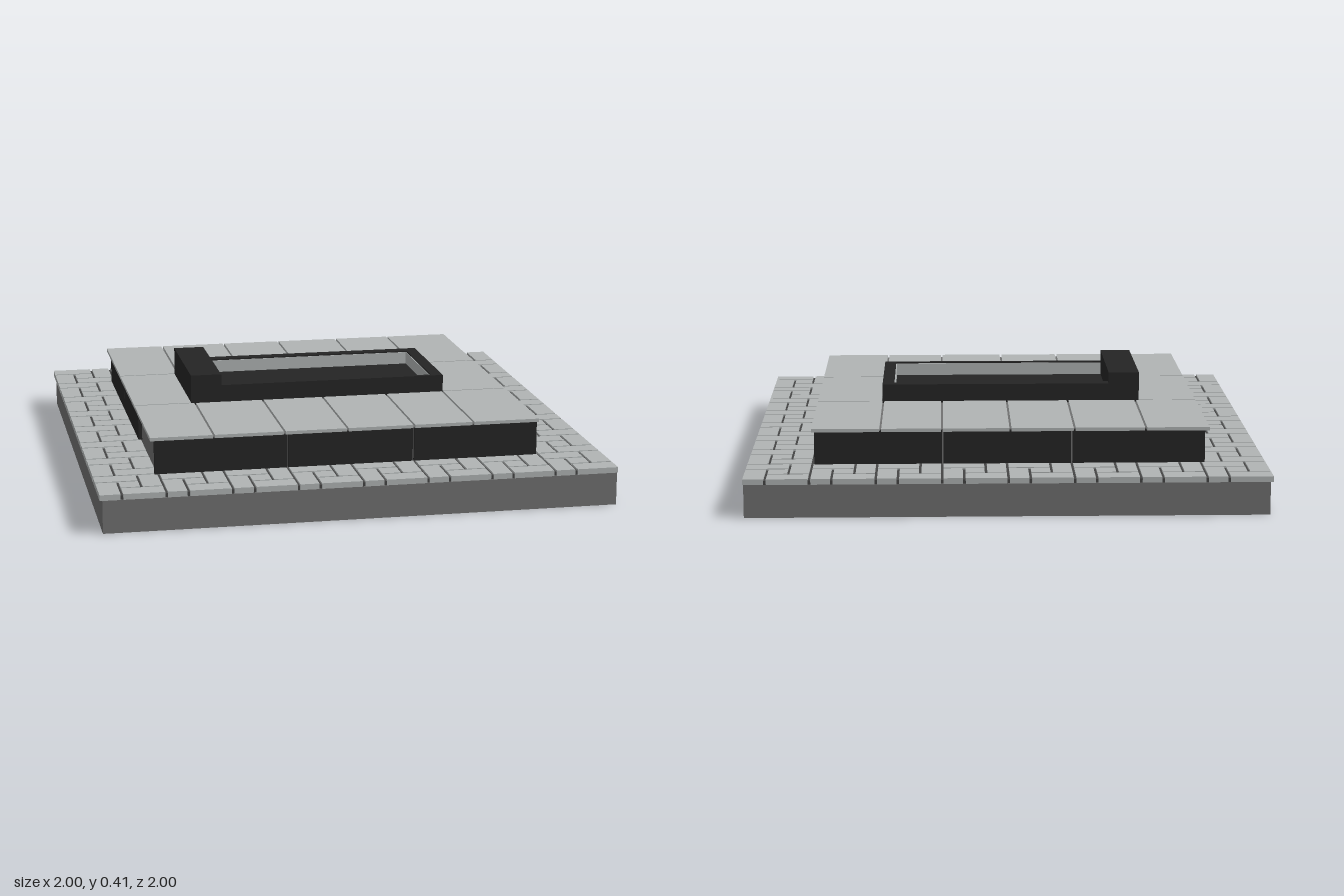
import * as THREE from 'three';
import { mergeGeometries } from 'three/addons/utils/BufferGeometryUtils.js';

const mat = (name, color) => new THREE.MeshStandardMaterial({ name, color });

// Box given by its limits on each axis
function block(x0, x1, y0, y1, z0, z1) {
  return new THREE.BoxGeometry(x1 - x0, y1 - y0, z1 - z0)
    .translate((x0 + x1) / 2, (y0 + y1) / 2, (z0 + z1) / 2);
}

export function createModel() {
  const paleStone = mat('paleStone', 0xb0b4b4);
  const concrete = mat('concrete', 0x707070);
  const grout = mat('grout', 0x444444);
  const blackGranite = mat('blackGranite', 0x242424);

  const model = new THREE.Group();
  model.name = 'terracedMonument';
  const add = (name, material, ...geometries) => {
    const mesh = new THREE.Mesh(geometries.length > 1 ? mergeGeometries(geometries) : geometries[0], material);
    mesh.name = name;
    model.add(mesh);
  };

  // Foundation and bed of the paving
  add('foundation', concrete, block(-0.99, 0.997, 0, 0.128, -0.997, 0.997));
  add('pavingBed', grout, block(-0.99, 0.995, 0.128, 0.143, -0.995, 0.995));

  // Pinwheel paving: four 2x1 stones round one square, repeated 8 x 8
  const unit = 0.25 / 3, gap = 0.005;
  const pinwheel = [[0, 0, 2, 1], [2, 0, 1, 2], [1, 2, 2, 1], [0, 1, 1, 2], [1, 1, 1, 1]];
  const stones = [];
  for (let i = 0; i < 8; i++) {
    for (let j = 0; j < 8; j++) {
      // Only the ring outside the plinth is paved
      if (i > 0 && i < 7 && j > 0 && j < 7) continue;
      for (const [u, v, w, d] of pinwheel) {
        const x = -1 + i * 0.25 + u * unit, z = -1 + j * 0.25 + v * unit;
        // Outermost edges stay flush with the border
        const a = x < -0.999 ? 0 : gap, b = z < -0.999 ? 0 : gap;
        const c = x + w * unit > 0.999 ? 0 : gap, e = z + d * unit > 0.999 ? 0 : gap;
        stones.push(block(x + a, x + w * unit - c, 0.128, 0.15, z + b, z + d * unit - e));
      }
    }
  }
  add('pavingStones', paleStone, ...stones);

  // Plinth core
  add('plinthCore', concrete, block(-0.75, 0.725, 0.14, 0.284, -0.745, 0.745));

  // Granite facing, three panels a side; one is left off the -x side
  const facing = [];
  const xs = [-0.765, -0.25, 0.247, 0.742], zs = [-0.76, -0.25, 0.25, 0.76];
  for (let i = 0; i < 3; i++) {
    const xa = xs[i] + (i ? 0.003 : 0), xb = xs[i + 1] - (i < 2 ? 0.003 : 0);
    const za = zs[i] + (i ? 0.003 : 0.015), zb = zs[i + 1] - (i < 2 ? 0.003 : 0.015);
    facing.push(block(xa, xb, 0.15, 0.28, 0.745, 0.76));
    facing.push(block(xa, xb, 0.15, 0.28, -0.76, -0.745));
    facing.push(block(0.725, 0.742, 0.15, 0.28, za, zb));
    if (i < 2) facing.push(block(-0.765, -0.75, 0.15, 0.28, za, zb));
  }
  add('plinthFacing', blackGranite, ...facing);

  // Cap slabs: six in front, six behind, one at each end of the bed
  const caps = [], g = 0.004;
  const cx = [-0.78, -0.535, -0.26, -0.013, 0.25, 0.487, 0.752];
  for (let i = 0; i < 6; i++) {
    const a = cx[i] + (i ? g : 0), b = cx[i + 1] - (i < 5 ? g : 0);
    caps.push(block(a, b, 0.28, 0.293, -0.78, -0.255 - g));
    caps.push(block(a, b, 0.28, 0.293, 0.252 + g, 0.757));
  }
  caps.push(block(-0.78, -0.55, 0.28, 0.293, -0.255 + g, 0.252 - g));
  caps.push(block(0.49 + g, 0.752, 0.28, 0.293, -0.255 + g, 0.252 - g));
  add('capSlabs', paleStone, ...caps);

  // Granite bed with raised kerbs and a headblock
  add('bedFloor', blackGranite, block(-0.44, 0.46, 0.28, 0.305, -0.22, 0.24));
  add('bedKerbs', blackGranite,
    block(-0.43, 0.49, 0.284, 0.36, -0.25, -0.205),
    block(-0.43, 0.49, 0.284, 0.36, 0.232, 0.25),
    block(0.443, 0.49, 0.284, 0.36, -0.205, 0.232));
  add('headBlock', blackGranite, block(-0.55, -0.427, 0.284, 0.405, -0.25, 0.25));

  // Pale lining on the inner faces of the kerbs
  add('bedLining', paleStone,
    block(-0.427, 0.443, 0.305, 0.355, -0.205, -0.202),
    block(-0.427, 0.443, 0.305, 0.355, 0.229, 0.232),
    block(0.44, 0.443, 0.305, 0.355, -0.202, 0.229));

  return model;
}
